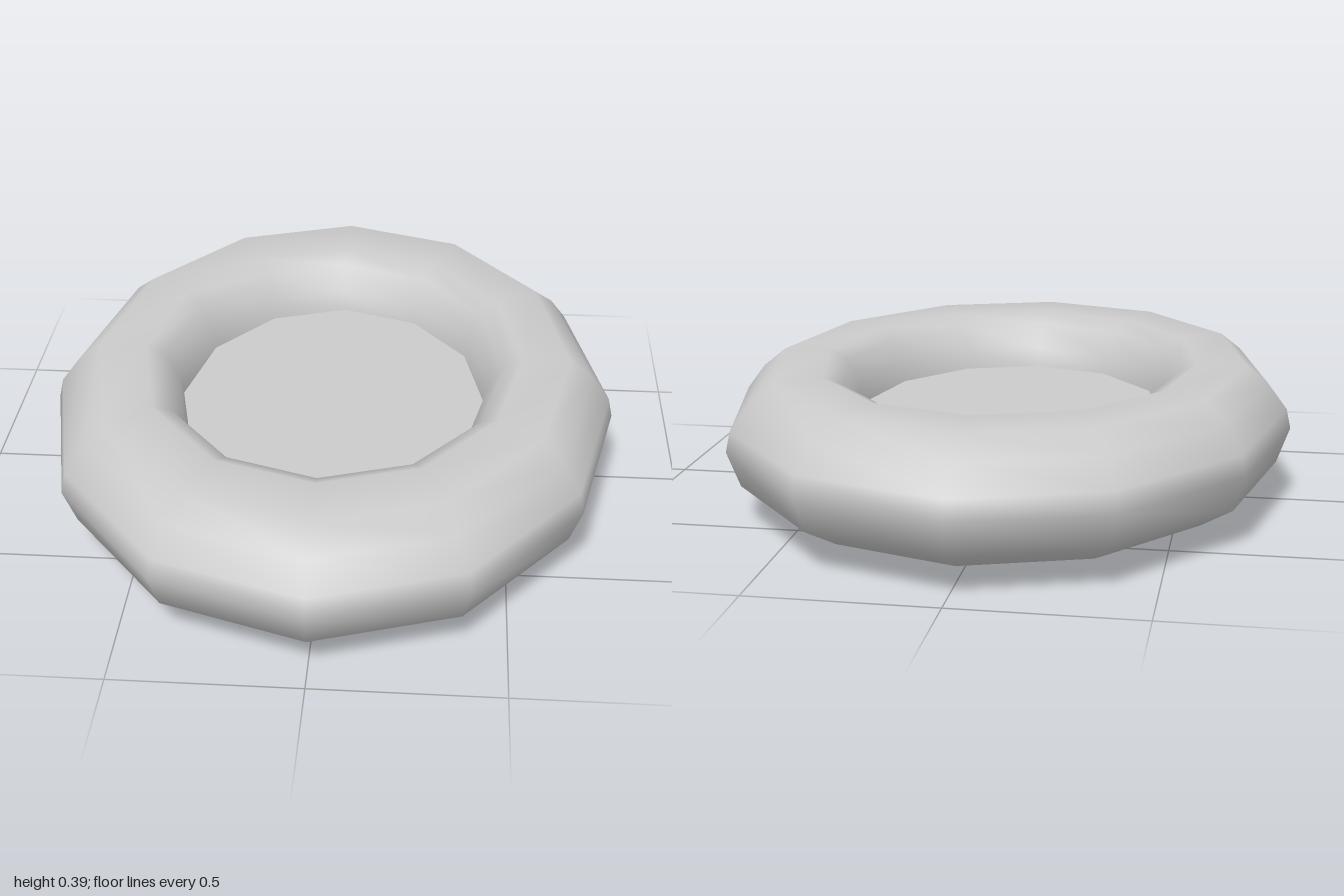
import * as THREE from 'three';

const SIDES = 12;
const WIDTH_RATIO = 0.8; // oval: narrower across x than along z

export function createModel() {
  const group = new THREE.Group();
  const material = new THREE.MeshStandardMaterial({ color: 0xcccccc });

  // Closed underside, rounded outer wall, flat top and steep inner wall
  const profile = [
    [0, 0], [0.5, 0], [0.83, 0.045], [0.955, 0.11], [1, 0.21], [0.985, 0.265],
    [0.92, 0.335], [0.84, 0.387], [0.67, 0.387], [0.605, 0.36], [0.555, 0.29], [0.543, 0.235],
  ].map(([r, y]) => new THREE.Vector2(r, y));
  const ring = new THREE.Mesh(new THREE.LatheGeometry(profile, SIDES), material);
  ring.name = 'cushionRing';
  ring.scale.x = WIDTH_RATIO;
  group.add(ring);

  // Flat floor set inside the ring
  const floorGeometry = new THREE.CircleGeometry(0.543, SIDES);
  floorGeometry.rotateX(-Math.PI / 2);
  const floor = new THREE.Mesh(floorGeometry, material);
  floor.name = 'innerFloor';
  floor.scale.x = WIDTH_RATIO;
  floor.position.y = 0.235;
  group.add(floor);

  return group;
}
